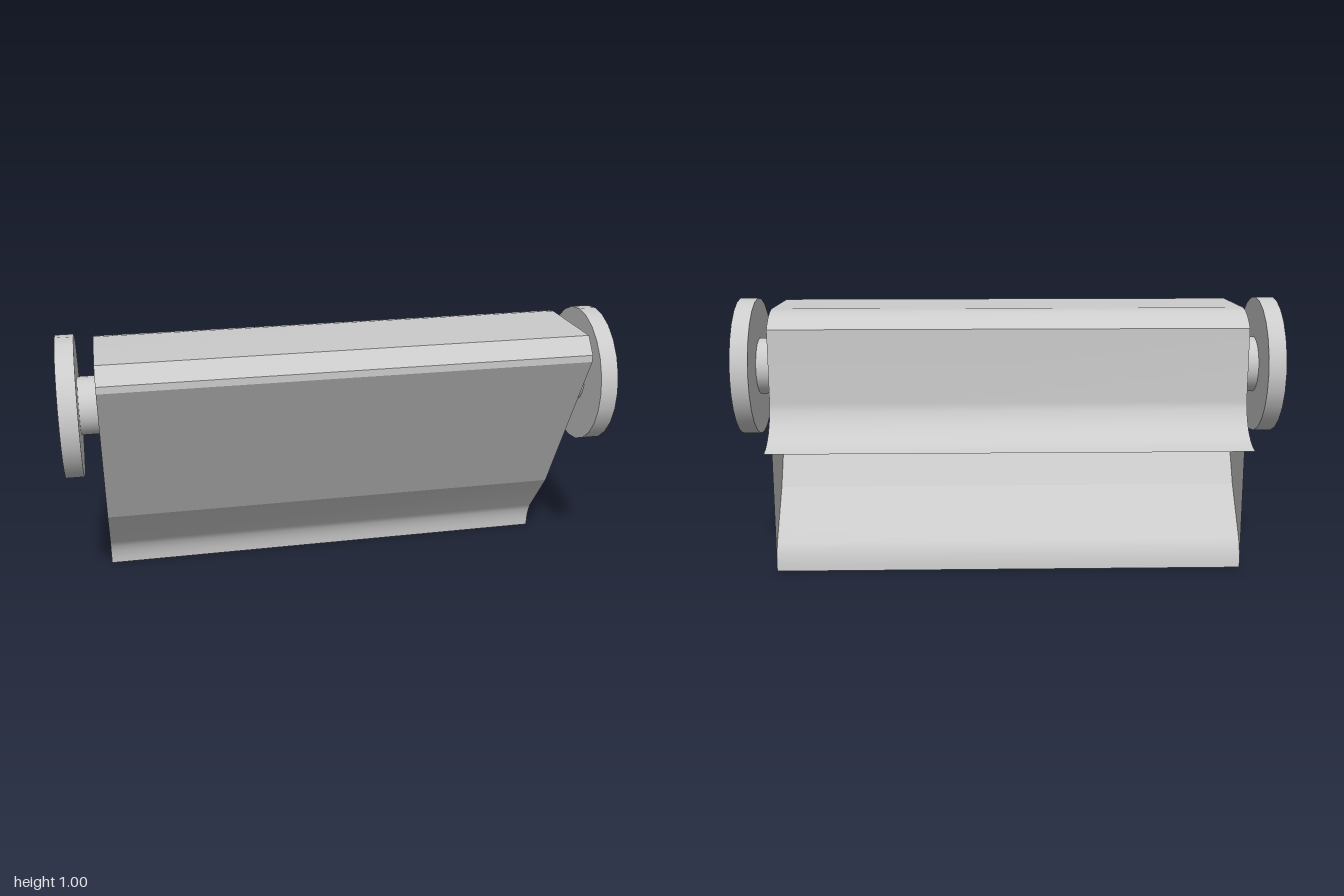
import * as THREE from 'three';

const HALF = 0.87; // half width of the housing
const material = new THREE.MeshStandardMaterial({ color: 0xcccccc, side: THREE.DoubleSide });

// Bands of the housing profile as [z, y]; each band is smooth, with a crease between bands
const bands = {
  lowerApron: [[-0.172, 0], [-0.17, 0.025], [-0.165, 0.053], [-0.156, 0.08], [-0.142, 0.105], [0, 0.28]],
  frontPanel: [[0, 0.28], [0.337, 0.885]],
  frontEdge: [[0.337, 0.885], [0.337, 0.91]],
  frontBevel: [[0.337, 0.91], [0.29, 0.97]],
  topPanel: [[0.29, 0.97], [-0.05, 0.97], [-0.09, 0.962], [-0.125, 0.946], [-0.152, 0.928], [-0.172, 0.908]],
  backPanelWithLip: [[-0.172, 0.908], [-0.172, 0.64], [-0.178, 0.61], [-0.194, 0.575], [-0.22, 0.54],
    [-0.254, 0.514], [-0.29, 0.497], [-0.33, 0.488]],
};

// Sheet spanning the width along a profile band
function sheet(points) {
  const pos = [], index = [];
  points.forEach(([z, y], i) => {
    pos.push(-HALF, y, z, HALF, y, z);
    if (i < points.length - 1) {
      const a = i * 2;
      index.push(a, a + 1, a + 3, a, a + 3, a + 2);
    }
  });
  const g = new THREE.BufferGeometry();
  g.setAttribute('position', new THREE.Float32BufferAttribute(pos, 3));
  g.setIndex(index);
  g.computeVertexNormals();
  return g;
}

// Cylinder lying along x between x0 and x1, on the roller axis
function disc(name, radius, x0, x1) {
  const g = new THREE.CylinderGeometry(radius, radius, x1 - x0, 24);
  g.rotateZ(Math.PI / 2);
  const m = new THREE.Mesh(g, material);
  m.name = name;
  m.position.set((x0 + x1) / 2, 0.745, 0.04);
  return m;
}

// End plate, axle stub and wheel at the -x end
function end(name) {
  const group = new THREE.Group();
  group.name = name;
  const outline = Object.values(bands).flatMap((b, i) => (i ? b.slice(1) : b));
  outline.push([-0.172, 0.495]);
  const shape = new THREE.Shape(outline.map(([z, y]) => new THREE.Vector2(z, y)));
  const plate = new THREE.Mesh(new THREE.ShapeGeometry(shape).rotateY(-Math.PI / 2), material);
  plate.name = 'endPlate';
  plate.position.x = -HALF;
  group.add(plate, disc('axleStub', 0.105, -0.94, -0.862), disc('wheel', 0.255, -1, -0.935));
  return group;
}

export function createModel() {
  const model = new THREE.Group();
  model.name = 'rollerHousing';

  // Hollow housing, open at the back below the lip
  const housing = new THREE.Group();
  housing.name = 'housing';
  for (const [name, points] of Object.entries(bands)) {
    const m = new THREE.Mesh(sheet(points), material);
    m.name = name;
    housing.add(m);
  }
  model.add(housing);

  // Mirrored ends
  const left = end('leftEnd');
  left.scale.x = -1;
  model.add(left, end('rightEnd'));
  return model;
}
